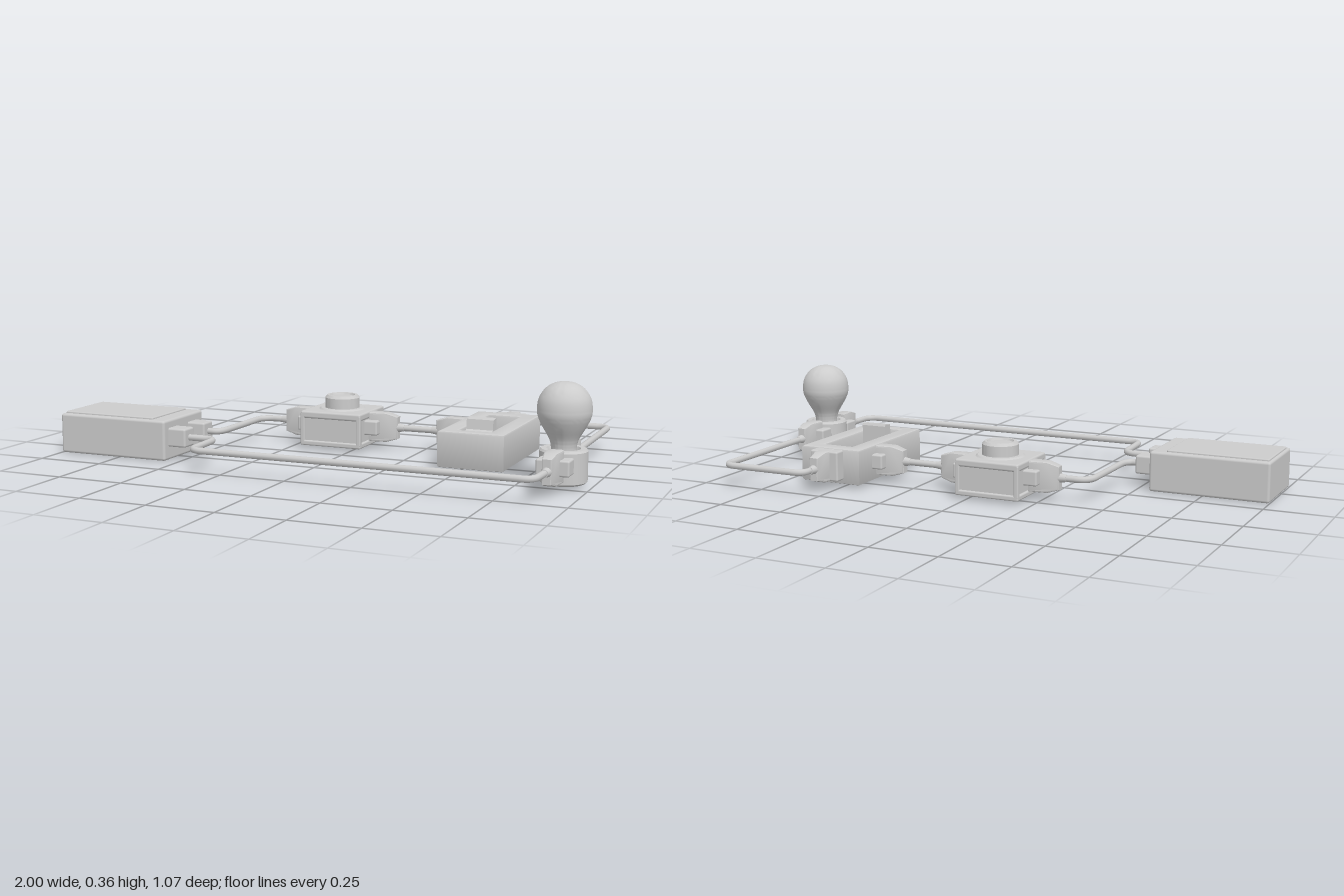
import * as THREE from 'three';
import { RoundedBoxGeometry } from 'three/addons/geometries/RoundedBoxGeometry.js';
import { toCreasedNormals } from 'three/addons/utils/BufferGeometryUtils.js';

const grey = new THREE.MeshStandardMaterial({ color: 0xcccccc });
const greyDouble = new THREE.MeshStandardMaterial({ color: 0xcccccc, side: THREE.DoubleSide });
const WIRE_Y = 0.085;

function add(parent, name, geometry, x = 0, y = 0, z = 0, material = grey) {
  const mesh = new THREE.Mesh(geometry, material);
  mesh.name = name;
  mesh.position.set(x, y, z);
  parent.add(mesh);
  return mesh;
}

function group(parent, name, x = 0, y = 0, z = 0) {
  const g = new THREE.Group();
  g.name = name;
  g.position.set(x, y, z);
  parent.add(g);
  return g;
}

// box given by its limits, with softened edges
function block(parent, name, [x0, x1], [y0, y1], [z0, z1], r = 0.006) {
  return add(parent, name, new RoundedBoxGeometry(x1 - x0, y1 - y0, z1 - z0, 2, r),
    (x0 + x1) / 2, (y0 + y1) / 2, (z0 + z1) / 2);
}

function lathe(parent, name, points, segments = 40, crease = 0.6) {
  const g = new THREE.LatheGeometry(points.map(([r, y]) => new THREE.Vector2(r, y)), segments);
  return add(parent, name, toCreasedNormals(g, crease), 0, 0, 0, greyDouble);
}

// wire along points on the wire plane, with rounded corners
function wire(parent, name, points, radius = 0.045) {
  const p = points.map(([x, z]) => new THREE.Vector3(x, WIRE_Y, z));
  const path = new THREE.CurvePath();
  let from = p[0];
  for (let i = 1; i < p.length - 1; i++) {
    const toward = (q) => {
      const d = q.clone().sub(p[i]);
      return p[i].clone().add(d.setLength(Math.min(radius, d.length() * 0.48)));
    };
    const a = toward(p[i - 1]), b = toward(p[i + 1]);
    path.add(new THREE.LineCurve3(from, a));
    path.add(new THREE.QuadraticBezierCurve3(a, p[i], b));
    from = b;
  }
  path.add(new THREE.LineCurve3(from, p[p.length - 1]));
  add(parent, name, new THREE.TubeGeometry(path, p.length > 2 ? 180 : 2, 0.012, 10));
}

// tall tapering plug in a flat socket; local +z points away from the device
function plug(parent, name, x, z, angle, socketHeight = 0.056) {
  const g = group(parent, name, x, WIRE_Y, z);
  g.rotation.y = angle;
  const h = socketHeight / 2;
  block(g, 'socket', [-0.058, 0.058], [-h, h], [-0.025, 0.042], 0.007);
  const side = new THREE.Shape([[0, -0.05], [0.065, -0.05], [0.105, -0.038], [0.105, 0.038],
    [0.065, 0.05], [0, 0.05]].map(([a, b]) => new THREE.Vector2(a, b)));
  const body = new THREE.ExtrudeGeometry(side, {
    depth: 0.046, bevelSize: 0.006, bevelThickness: 0.006, bevelSegments: 2,
  });
  body.translate(0, 0, -0.023).rotateY(-Math.PI / 2);
  const pos = body.attributes.position;
  for (let i = 0; i < pos.count; i++) {
    const t = THREE.MathUtils.clamp((pos.getZ(i) - 0.03) / 0.08, 0, 1);
    pos.setX(i, pos.getX(i) * (1 - 0.42 * t));
  }
  body.computeVertexNormals();
  add(g, 'plugBody', toCreasedNormals(body, 0.5));
  const relief = new THREE.CylinderGeometry(0.013, 0.018, 0.03, 12).rotateX(Math.PI / 2);
  add(g, 'strainRelief', relief, 0, 0, 0.12);
}

function battery(root) {
  const g = group(root, 'batteryBox');
  block(g, 'batteryCase', [-1, -0.55], [0, 0.15], [0.08, 0.37], 0.01);
  block(g, 'batteryLid', [-0.99, -0.61], [0.12, 0.157], [0.1, 0.35], 0.005);
  for (const z of [0.16, 0.305])
    block(g, 'batteryTerminal', [-0.57, -0.48], [0.05, 0.12], [z - 0.035, z + 0.035], 0.008);
}

function pushButton(root) {
  const g = group(root, 'pushButton', -0.08, 0, -0.193);
  block(g, 'buttonCore', [-0.116, 0.116], [0.016, 0.14], [-0.114, 0.114], 0.004);
  block(g, 'buttonTopPlate', [-0.125, 0.125], [0.118, 0.146], [-0.123, 0.123], 0.008);
  block(g, 'buttonBottomPlate', [-0.125, 0.125], [0.012, 0.032], [-0.123, 0.123], 0.006);
  // corner posts frame the recessed side panels
  for (const sx of [-1, 1]) for (const sz of [-1, 1])
    add(g, 'cornerPost', new RoundedBoxGeometry(0.018, 0.12, 0.018, 2, 0.005),
      sx * 0.116, 0.08, sz * 0.114);
  lathe(g, 'buttonCollar', [[0.09, 0.14], [0.09, 0.146], [0.083, 0.151], [0.06, 0.151]]);
  lathe(g, 'buttonCap', [[0.067, 0.14], [0.067, 0.19], [0.058, 0.2], [0.049, 0.2],
    [0.045, 0.193], [0.04, 0.193], [0, 0.194]]);
}

function slideSwitch(root) {
  const g = group(root, 'slideSwitch', 0.547, 0, -0.112);
  const rect = (C, w, h, y = 0) => new C([[-w, y - h], [w, y - h], [w, y + h], [-w, y + h]]
    .map(([a, b]) => new THREE.Vector2(a, b)));
  // walls around the open slot
  const outline = rect(THREE.Shape, 0.115, 0.225);
  outline.holes.push(rect(THREE.Path, 0.066, 0.187, -0.005));
  const walls = new THREE.ExtrudeGeometry(outline, {
    depth: 0.117, bevelSize: 0.008, bevelThickness: 0.008, bevelSegments: 2,
  });
  walls.rotateX(-Math.PI / 2).translate(0, 0.02, 0);
  add(g, 'switchWalls', toCreasedNormals(walls, 0.5));
  block(g, 'slotFloor', [-0.1, 0.1], [0.014, 0.085], [-0.21, 0.21], 0.003);
  // sliding lever with a sloping front
  const profile = new THREE.Shape([[-0.086, 0.08], [-0.159, 0.08], [-0.159, 0.12],
    [-0.13, 0.14], [-0.124, 0.176], [-0.09, 0.18], [-0.086, 0.172]]
    .map(([z, y]) => new THREE.Vector2(z, y)));
  const lever = new THREE.ExtrudeGeometry(profile, { depth: 0.1, bevelEnabled: false });
  lever.rotateY(Math.PI / 2).translate(-0.05, 0, 0);
  add(g, 'switchLever', lever);
}

function lamp(root) {
  const g = group(root, 'lamp', 0.902, 0, 0.192);
  lathe(g, 'lampHolder', [[0, 0.013], [0.074, 0.013], [0.083, 0.02], [0.083, 0.125],
    [0.077, 0.132], [0.058, 0.132], [0.052, 0.12], [0, 0.12]]);
  // glass: narrow neck swelling into a round globe
  const glass = new THREE.SplineCurve([[0.044, 0.115], [0.044, 0.14], [0.052, 0.167],
    [0.075, 0.207], [0.09, 0.24], [0.093, 0.268], [0.087, 0.303], [0.066, 0.335],
    [0.035, 0.354], [0, 0.36]].map(([r, y]) => new THREE.Vector2(r, y))).getPoints(36);
  lathe(g, 'bulbGlass', glass.map((p) => [Math.max(p.x, 0), p.y]), 48, 1.2);
}

export function createModel() {
  const root = new THREE.Group();
  root.name = 'electricCircuit';
  battery(root);
  pushButton(root);
  slideSwitch(root);
  lamp(root);

  const q = Math.PI / 2;
  plug(root, 'buttonLeftPlug', -0.205, -0.193, -q);
  plug(root, 'buttonRightPlug', 0.045, -0.193, q);
  plug(root, 'switchSidePlug', 0.425, -0.193, -q);
  plug(root, 'switchRearPlug', 0.55, -0.345, 2 * q, 0.112);
  plug(root, 'lampRearPlug', 0.897, 0.106, 2 * q);
  plug(root, 'lampFrontPlug', 0.897, 0.278, 0);

  wire(root, 'batteryToButtonWire', [[-0.5, 0.16], [-0.43, 0.16], [-0.425, -0.193], [-0.31, -0.193]], 0.06);
  wire(root, 'buttonToSwitchWire', [[0.15, -0.193], [0.32, -0.193]]);
  wire(root, 'switchToLampWire', [[0.55, -0.45], [0.555, -0.525], [0.893, -0.525], [0.897, 0]]);
  wire(root, 'lampToBatteryWire', [[0.897, 0.38], [0.89, 0.518], [-0.36, 0.518], [-0.37, 0.305], [-0.5, 0.305]]);
  return root;
}
